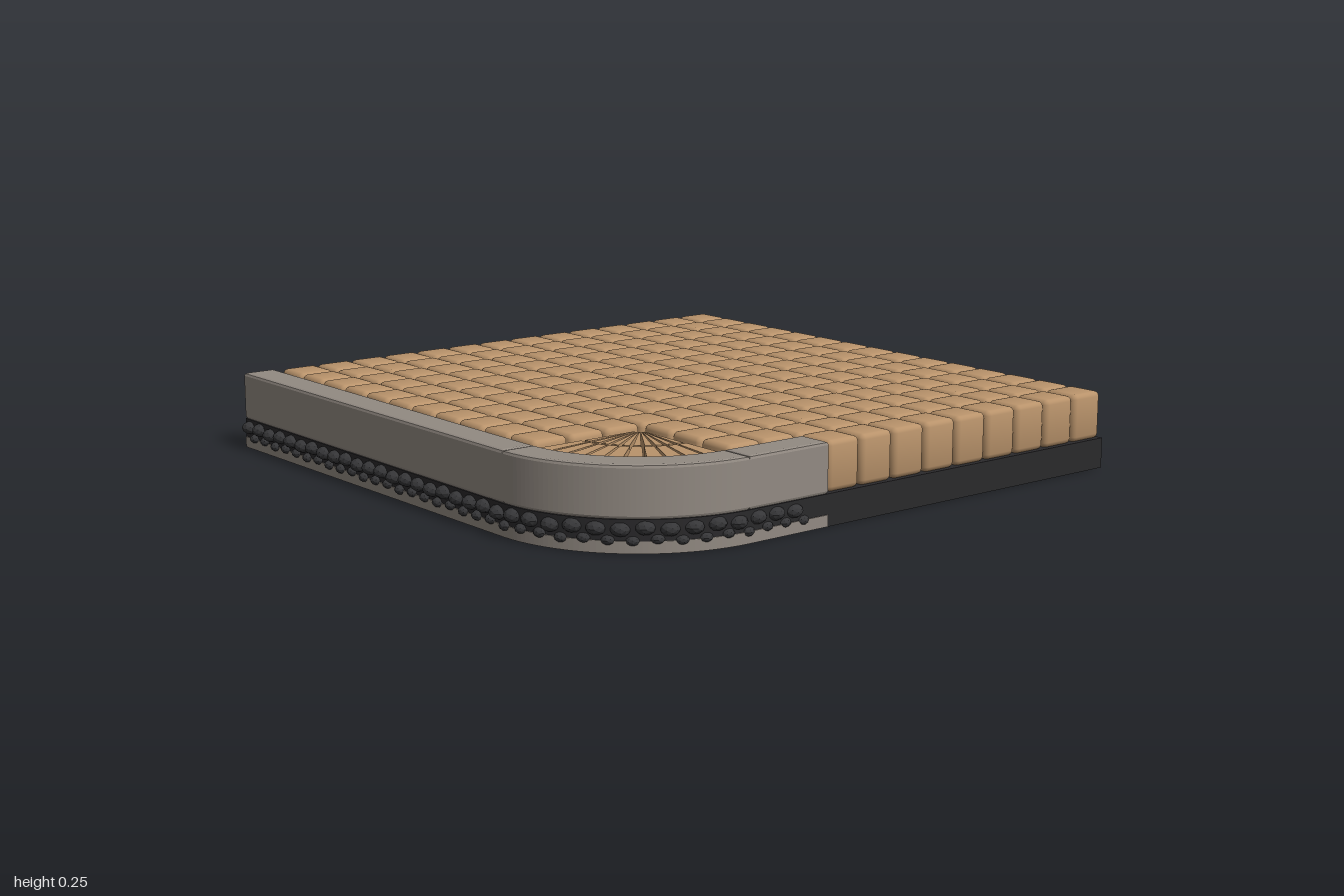
import * as THREE from 'three';
import { RoundedBoxGeometry } from 'three/addons/geometries/RoundedBoxGeometry.js';

const mat = (color, extra = {}) => new THREE.MeshStandardMaterial({ color, ...extra });
const TAN = mat(0xb9936b), FAN = mat(0xb9936b), CURB = mat(0x928a82);
const DARK = mat(0x2a292b), STONE = mat(0x363638, { flatShading: true });

// Plan shapes use y = -z; the rounded corner is centred at (-CX, CX) in x, z
const CX = 0.48, R = 0.49, IN = 0.38, PITCH = 0.131;

function mesh(name, geometry, material) {
  const m = new THREE.Mesh(geometry, material);
  m.name = name;
  return m;
}

// Extrudes a plan shape upward between two heights, with an optional inset bevel
function slab(name, shape, y0, y1, material, bevel = 0) {
  const g = new THREE.ExtrudeGeometry(shape, {
    depth: y1 - y0 - 2 * bevel, curveSegments: 24, bevelEnabled: bevel > 0,
    bevelThickness: bevel, bevelSize: bevel, bevelOffset: -bevel, bevelSegments: 2,
  });
  g.rotateX(-Math.PI / 2).translate(0, y0 + bevel, 0);
  return mesh(name, g, material);
}

function rect(x0, x1, z0, z1) {
  return new THREE.Shape([[x0, -z1], [x1, -z1], [x1, -z0], [x0, -z0]].map(p => new THREE.Vector2(...p)));
}

// Ring sector around the corner centre
function sector(r0, r1, a0, a1) {
  const s = new THREE.Shape();
  s.absarc(-CX, -CX, r1, a0, a1, false);
  s.absarc(-CX, -CX, r0, a1, a0, true);
  s.closePath();
  return s;
}

// The three runs of a kerb: long side, curved corner, short front
function kerb(name, y0, y1, grow, bevel) {
  const g = new THREE.Group(), o = R + grow;
  g.name = name;
  g.add(slab(name + 'Side', rect(-CX - o, -CX - IN, -1, CX), y0, y1, CURB, bevel));
  g.add(slab(name + 'Corner', sector(IN, o, Math.PI, Math.PI * 1.5), y0, y1, CURB, bevel));
  g.add(slab(name + 'Front', rect(-CX, -0.185, CX + IN, CX + o), y0, y1, CURB, bevel));
  return g;
}

// Rounded paving block with softly pillowed shading
function blockGeometry() {
  const w = 0.123, h = 0.152, d = 0.125;
  const g = new RoundedBoxGeometry(w, h, d, 2, 0.016);
  const p = g.attributes.position, n = g.attributes.normal, v = new THREE.Vector3();
  for (let i = 0; i < p.count; i++) {
    v.set(n.getX(i) + 0.3 * p.getX(i) / (w / 2), n.getY(i) + 0.3 * p.getY(i) / (h / 2),
      n.getZ(i) + 0.3 * p.getZ(i) / (d / 2)).normalize();
    n.setXYZ(i, v.x, v.y, v.z);
  }
  return g;
}

// Point on the outer edge at distance s from the back
function edgePoint(s) {
  const side = 1 + CX, arc = R * Math.PI / 2;
  if (s < side) return [-CX - R, -1 + s];
  if (s < side + arc) {
    const a = (s - side) / R;
    return [-CX - R * Math.cos(a), CX + R * Math.sin(a)];
  }
  return [-CX + s - side - arc, CX + R];
}

export function createModel() {
  const model = new THREE.Group();
  model.name = 'pavedCorner';

  // Dark base with one rounded corner
  const base = new THREE.Shape();
  base.moveTo(1, 1);
  base.lineTo(-CX - R, 1);
  base.lineTo(-CX - R, -CX);
  base.absarc(-CX, -CX, R, Math.PI, Math.PI * 1.5, false);
  base.lineTo(1, -CX - R);
  base.closePath();
  model.add(slab('base', base, 0, 0.097, DARK));

  // Raised kerb and the thin footing below it
  model.add(kerb('kerb', 0.095, 0.25, 0, 0.01));
  model.add(kerb('footing', 0.001, 0.036, 0.003, 0));

  // Paving blocks, with shorter rows around the corner
  const paving = new THREE.Group();
  paving.name = 'paving';
  const block = blockGeometry();
  for (let row = 0; row < 15; row++) {
    const columns = row < 11 ? 14 : row < 14 ? 11 : 9;
    for (let col = 0; col < columns; col++) {
      const b = mesh('pavingBlock', block, TAN);
      b.position.set(0.933 - col * PITCH, 0.172, -0.935 + row * PITCH);
      paving.add(b);
    }
  }
  model.add(paving);

  // Fan of wedge stones filling the corner
  const fan = new THREE.Group();
  fan.name = 'cornerFan';
  const wedges = 10, step = Math.PI / 2 / wedges;
  for (const [r0, r1] of [[0.025, 0.205], [0.217, 0.374]]) {
    for (let i = 0; i < wedges; i++) {
      const a = Math.PI + i * step, gap = 0.014 * (r0 < 0.1 ? 1.8 : 1);
      fan.add(slab('fanWedge', sector(r0, r1, a + gap, a + step - gap), 0.095, 0.24, FAN));
    }
  }
  model.add(fan);

  // Two staggered rows of small dark stones along the outer edge
  const stones = new THREE.Group();
  stones.name = 'edgeStones';
  const pebble = new THREE.IcosahedronGeometry(0.03, 1);
  const length = 1 + CX + R * Math.PI / 2 + 0.23;
  for (const [y, size, start] of [[0.07, 1, 0.035], [0.038, 0.72, 0.069]]) {
    for (let s = start, i = 0; s < length; s += 0.068, i++) {
      const [x, z] = edgePoint(s), m = mesh('edgeStone', pebble, STONE);
      m.position.set(x + 0.003, y + 0.003 * Math.sin(i * 2.3), z - 0.008);
      m.scale.set(size, size * 0.72, size);
      m.rotation.y = i * 1.7;
      stones.add(m);
    }
  }
  model.add(stones);
  return model;
}
